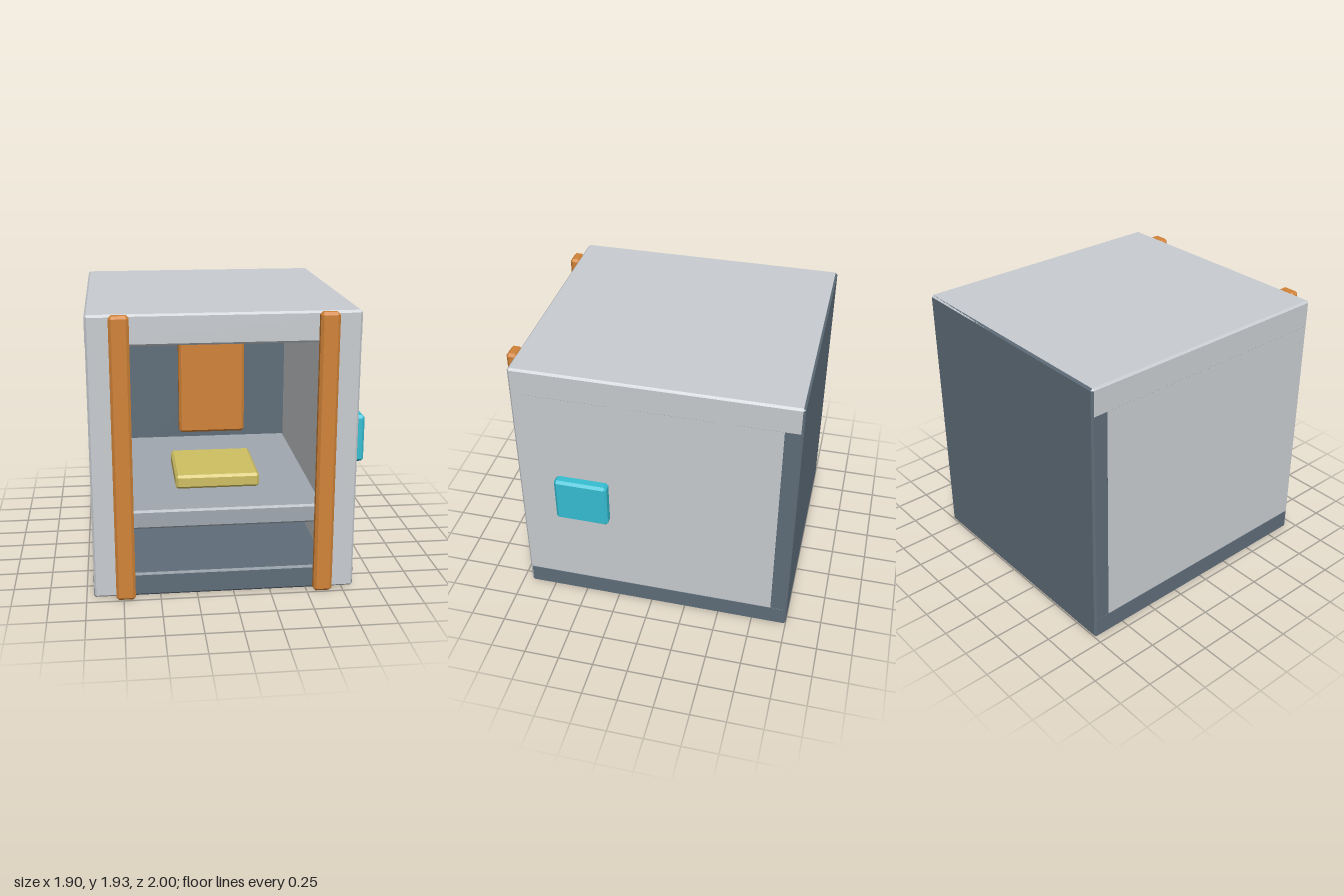
import * as THREE from 'three';
import { ConvexGeometry } from 'three/addons/geometries/ConvexGeometry.js';

const mat = (name, color) => new THREE.MeshStandardMaterial({ name, color });

// Box between two corners, every edge cut by a flat chamfer c
function chamferBox([x0, y0, z0], [x1, y1, z1], c) {
  const pts = [];
  for (const sx of [-1, 1]) for (const sy of [-1, 1]) for (const sz of [-1, 1]) {
    const x = sx < 0 ? x0 : x1, y = sy < 0 ? y0 : y1, z = sz < 0 ? z0 : z1;
    pts.push(new THREE.Vector3(x, y - sy * c, z - sz * c));
    pts.push(new THREE.Vector3(x - sx * c, y, z - sz * c));
    pts.push(new THREE.Vector3(x - sx * c, y - sy * c, z));
  }
  return new ConvexGeometry(pts);
}

export function createModel() {
  const light = mat('lightGrey', 0xc8ccd0);
  const dark = mat('slate', 0x5e6c78);
  const shelfGrey = mat('shelfGrey', 0xa0a7af);
  const orange = mat('orange', 0xd08237);
  const yellow = mat('yellow', 0xcebe62);
  const cyan = mat('cyan', 0x36bed2);

  const group = new THREE.Group();
  group.name = 'cabin';
  const add = (name, material, min, max, c = 0.014) => {
    const mesh = new THREE.Mesh(chamferBox(min, max, c), material);
    mesh.name = name;
    group.add(mesh);
  };

  // Shell: tiny insets keep overlapping outer faces apart
  const L = -0.95, R = 0.83, H = 1.935, F = 0.935, wall = 0.195, e = 0.002;
  add('floor', dark, [L, 0, -0.999], [R, 0.165, F - e]);
  add('backWall', dark, [L + e / 2, e / 2, -1], [R - e / 2, H - e, -0.87]);
  add('roof', light, [L, 1.73, -0.998], [R, H, F]);
  add('rightWall', light, [L + e, e, -0.996], [L + wall, H - e, F + e]);
  add('leftWall', light, [R - wall, e, -0.996], [R - e, H - e, F + e]);

  // Front posts
  add('rightPost', orange, [-0.8, 0, 0.925], [-0.67, H, 1], 0.018);
  add('leftPost', orange, [0.545, 0, 0.925], [0.672, H, 1], 0.018);

  // Bench with cushion and backrest
  add('bench', shelfGrey, [L + wall - 0.005, 0.42, -0.88], [R - wall + 0.005, 0.553, 0.78]);
  add('cushion', yellow, [-0.36, 0.585, -0.12], [0.238, 0.685, 0.476], 0.018);
  add('backrest', orange, [-0.302, 0.875, -0.05], [0.18, 1.648, 0.06], 0.018);

  // Side panel standing off the left wall
  add('sidePanel', cyan, [0.865, 0.805, 0.27], [0.95, 1.14, 0.64], 0.018);

  return group;
}
